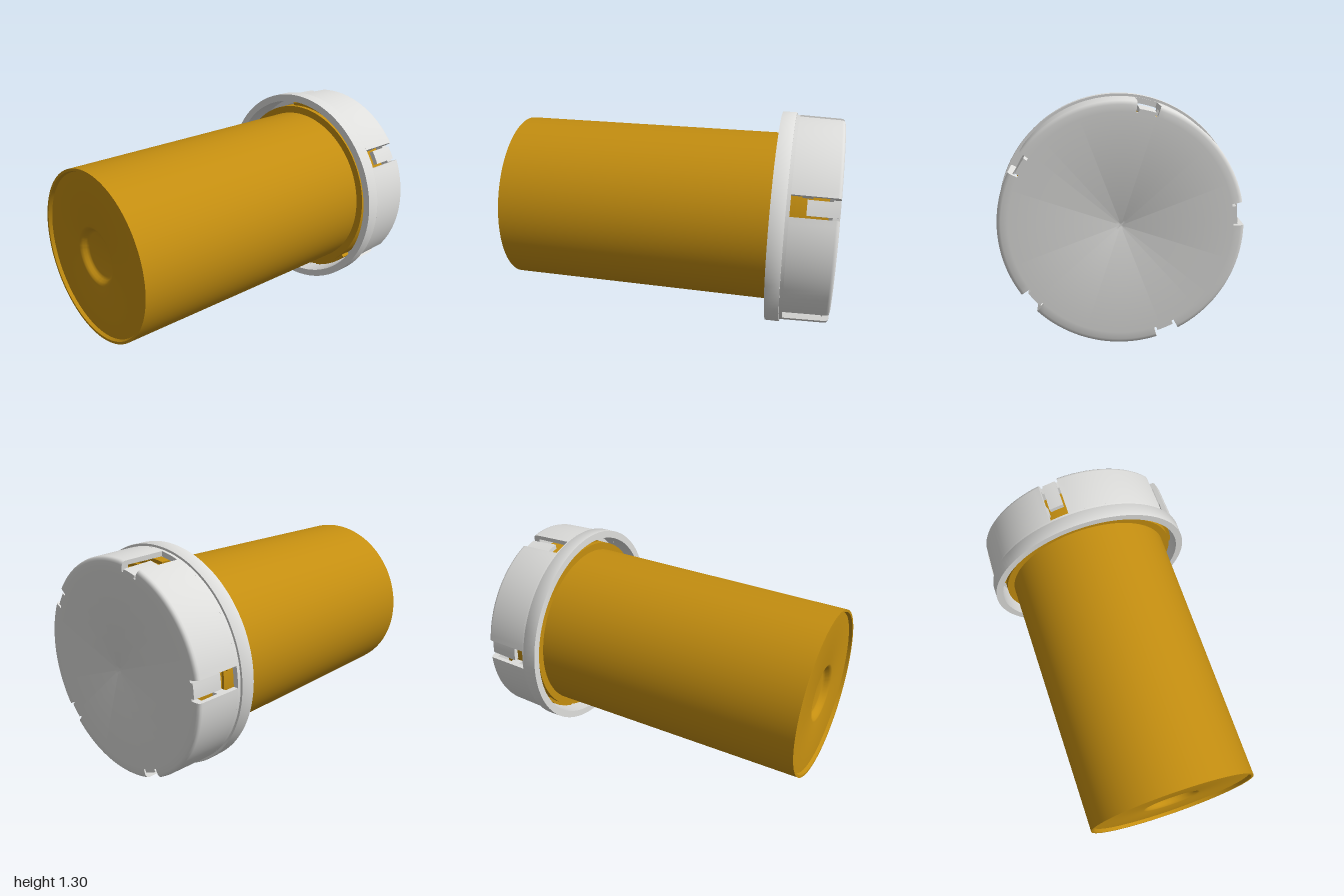
import * as THREE from 'three';
import { toCreasedNormals } from 'three/addons/utils/BufferGeometryUtils.js';

const amber = new THREE.MeshStandardMaterial({ color: 0xc48e10, side: THREE.DoubleSide });
amber.name = 'amber plastic';
const grey = new THREE.MeshStandardMaterial({ color: 0xdededc, side: THREE.DoubleSide });
grey.name = 'pale grey plastic';

const rad = THREE.MathUtils.degToRad;

// Profiles are [radius, z] pairs, swept around the z axis
function ring(name, profile, material, start = 0, sweep = 360) {
  const group = new THREE.Group();
  group.name = name;
  const points = profile.map(([r, z]) => new THREE.Vector2(r, z));
  const segments = Math.max(4, Math.round(sweep / 3));
  const lathe = new THREE.LatheGeometry(
    [...points, points[0].clone()], segments, rad(start + 90), rad(sweep));
  const surface = new THREE.Mesh(toCreasedNormals(lathe, 0.7), material);
  surface.name = name + ' surface';
  group.add(surface);
  // flat ends of a partial sweep
  if (sweep < 360) {
    for (const angle of [start, start + sweep]) {
      const end = new THREE.Mesh(new THREE.ShapeGeometry(new THREE.Shape(points)), material);
      end.name = name + ' end';
      end.rotation.y = rad(angle);
      group.add(end);
    }
  }
  return group;
}

export function createModel() {
  const model = new THREE.Group();
  model.name = 'lidded vial';
  const axis = new THREE.Group();
  axis.name = 'vial lying down';
  axis.rotation.x = Math.PI / 2;
  axis.position.y = 0.65;
  model.add(axis);

  // Hollow bottle with a rim, a recessed base and a round dimple
  axis.add(ring('bottle', [
    [0.49, -0.94], [0.535, -0.94], [0.535, -0.79], [0.55, -0.79], [0.55, -0.76],
    [0.565, -0.76], [0.565, -0.66], [0.52, -0.66], [0.512, 1],
    [0.497, 1], [0.49, 0.98], [0.178, 0.98], [0.168, 0.977], [0.158, 0.967],
    [0.148, 0.952], [0.14, 0.943], [0.13, 0.94], [0, 0.94],
    [0, 0.9], [0.49, 0.9],
  ], amber));

  // Cap flange
  axis.add(ring('capFlange', [
    [0.605, -0.73], [0.635, -0.73], [0.635, -0.71], [0.648, -0.71],
    [0.65, -0.707], [0.65, -0.625], [0.605, -0.625],
  ], grey));

  // Cap end plate with a small centre dimple
  axis.add(ring('capPlate', [
    [0, -0.992], [0.012, -0.992], [0.03, -1], [0.572, -1], [0.572, -0.96], [0, -0.96],
  ], grey));

  for (let i = 0; i < 5; i++) {
    const slot = 31 + i * 72;
    // Wall panel between two slots, rounded at the back edge
    axis.add(ring('capWall', [
      [0.57, -1], [0.605, -1], [0.617, -0.996], [0.624, -0.989], [0.627, -0.978],
      [0.635, -0.73], [0.605, -0.73], [0.602, -0.96], [0.57, -0.96],
    ], grey, slot + 5.5, 61));
    // Sunken locking tab inside the slot
    axis.add(ring('lockingTab', [
      [0.568, -1], [0.59, -1], [0.602, -0.82], [0.572, -0.82],
    ], grey, slot - 4.2, 8.4));
    // Lug inside the cap wall
    axis.add(ring('capLug', [
      [0.57, -0.85], [0.607, -0.85], [0.607, -0.79], [0.57, -0.79],
    ], grey, slot + 5.5, 28));
    // Lug on the bottle collar
    axis.add(ring('bottleLug', [
      [0.55, -0.75], [0.585, -0.75], [0.585, -0.69], [0.55, -0.69],
    ], amber, slot - 31, 28));
  }
  return model;
}
